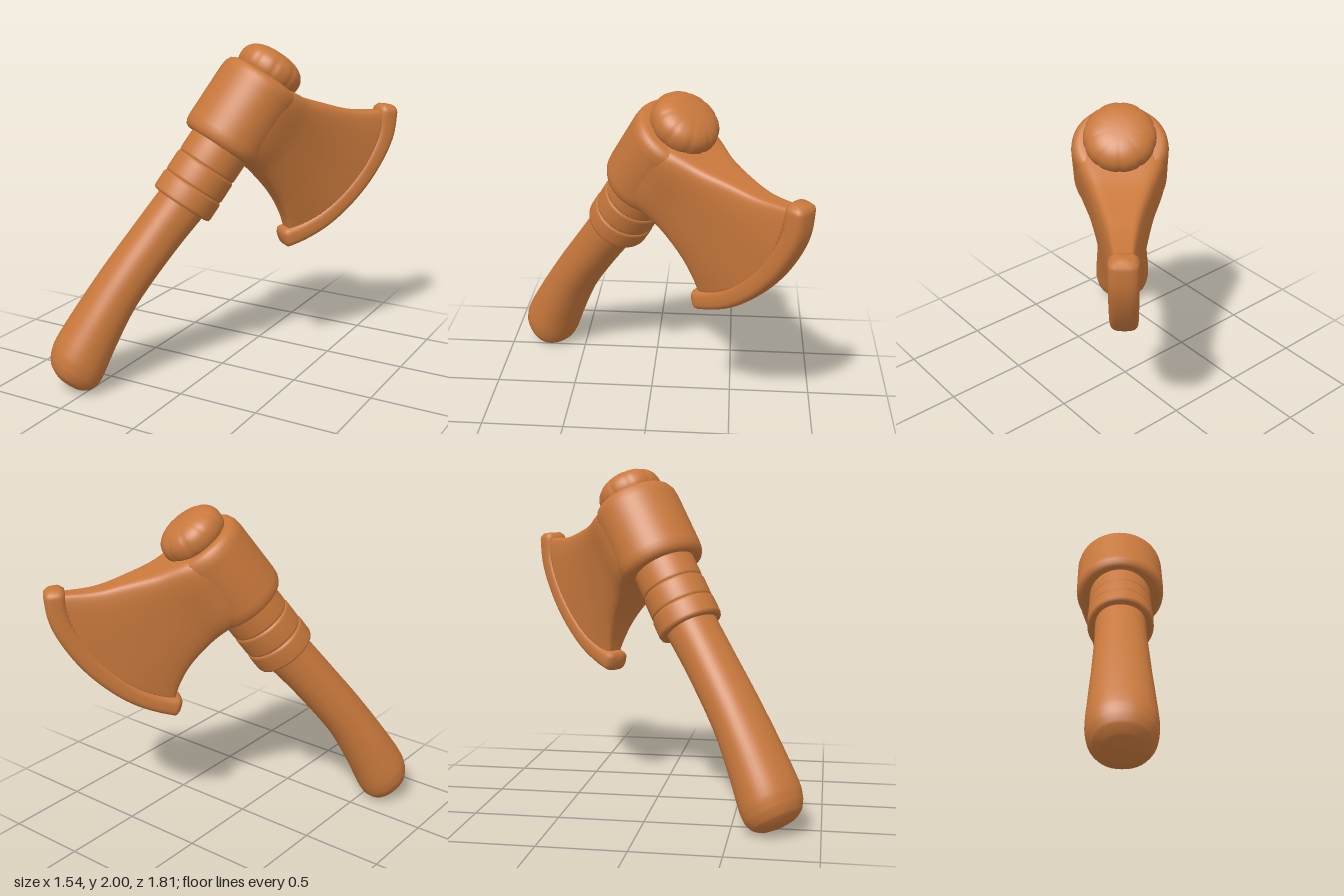
import * as THREE from 'three';

const V = (x, y, z) => new THREE.Vector3(x, y, z);
const spow = (v, e) => Math.sign(v) * Math.abs(v) ** e;

// Smooth closed skin over a list of equal-sized rings, with a centre point at each end
function loft(rings) {
  const n = rings[0].length, m = rings.length, pos = [], idx = [];
  rings.forEach(r => r.forEach(v => pos.push(v.x, v.y, v.z)));
  for (const r of [rings[0], rings[m - 1]]) {
    const c = r.reduce((s, v) => s.add(v), V(0, 0, 0)).divideScalar(n);
    pos.push(c.x, c.y, c.z);
  }
  for (let j = 0; j < n; j++) {
    const k = (j + 1) % n;
    for (let i = 0; i < m - 1; i++) {
      const a = i * n + j, b = i * n + k;
      idx.push(a, b, b + n, a, b + n, a + n);
    }
    idx.push(m * n, k, j, m * n + 1, (m - 1) * n + j, (m - 1) * n + k);
  }
  // Turn the skin outward if its enclosed volume is negative
  const at = i => V(pos[3 * i], pos[3 * i + 1], pos[3 * i + 2]);
  let vol = 0;
  for (let i = 0; i < idx.length; i += 3) vol += at(idx[i]).dot(at(idx[i + 1]).cross(at(idx[i + 2])));
  if (vol < 0) idx.reverse();
  const g = new THREE.BufferGeometry();
  g.setAttribute('position', new THREE.Float32BufferAttribute(pos, 3));
  g.setIndex(idx);
  g.computeVertexNormals();
  return g;
}

const curve = pts => new THREE.CatmullRomCurve3(pts.map(p => V(p[0], p[1], p[2] || 0)));
const turned = pts => new THREE.LatheGeometry(pts.map(p => new THREE.Vector2(p[0], p[1])), 48);

// Sideways offset of the cutting edge from the handle's middle plane
const EDGE_SHIFT = -0.028;

// Handle: slightly bent grip, swelling toward a rounded butt
function handleGeometry() {
  const axis = curve([[0, 0.06], [-0.025, -0.24], [-0.042, -0.62], [-0.026, -0.9], [-0.005, -1.08],
    [0.008, -1.15], [0.015, -1.2], [0.02, -1.232], [0.022, -1.245]]);
  const size = curve([[0.148, 0.15], [0.14, 0.152], [0.14, 0.163], [0.157, 0.178], [0.17, 0.187],
    [0.163, 0.177], [0.138, 0.15], [0.09, 0.1], [0.015, 0.015]]);
  const rings = [];
  for (let i = 0; i <= 56; i++) {
    const c = axis.getPoint(i / 56), r = size.getPoint(i / 56), ring = [];
    for (let j = 0; j < 40; j++) {
      const t = j / 40 * Math.PI * 2;
      ring.push(V(c.x + r.x * spow(Math.cos(t), 0.9), c.y, r.y * spow(Math.sin(t), 0.9)));
    }
    rings.push(ring);
  }
  return loft(rings);
}

// Blade: flares from the eye to the curved rim while getting thinner
function bladeGeometry() {
  const top = curve([[0, 0.9], [0.13, 0.925], [0.29, 0.952], [0.46, 1.008], [0.62, 1.07], [0.8, 1.185]]);
  const low = curve([[0, 0.43], [0.13, 0.425], [0.28, 0.41], [0.48, 0.36], [0.61, 0.295], [0.69, 0.235]]);
  const thick = curve([[0, 0.268], [0.2, 0.242], [0.4, 0.18], [0.6, 0.125], [0.8, 0.09], [1, 0.066]]);
  const rings = [];
  for (let i = 0; i <= 32; i++) {
    const u = i / 32, T = top.getPoint(u), B = low.getPoint(u), h = thick.getPoint(u).y, ring = [];
    for (let j = 0; j < 64; j++) {
      const t = (j + 0.5) / 64 * Math.PI * 2;
      const v = 0.5 - 0.5 * spow(Math.cos(t), 0.5);
      const p = B.clone().lerp(T, v);
      ring.push(V(p.x + 0.165 * 4 * v * (1 - v) * u * u, p.y, EDGE_SHIFT * u + h * spow(Math.sin(t), 0.27)));
    }
    rings.push(ring);
  }
  return loft(rings);
}

// Rim: thick rounded strip along the cutting edge
function rimGeometry() {
  const path = curve([[0.7, 0.17], [0.785, 0.285], [0.86, 0.43], [0.914, 0.64], [0.926, 0.85],
    [0.892, 1.06], [0.802, 1.225]]);
  const rings = [];
  for (let i = 0; i <= 56; i++) {
    const u = i / 56, c = path.getPoint(u), d = path.getTangent(u), ring = [];
    const e = Math.min(1, Math.min(u, 1 - u) / 0.035);
    const k = 0.65 + 0.35 * Math.sqrt(1 - (1 - e) ** 2);
    for (let j = 0; j < 28; j++) {
      const t = j / 28 * Math.PI * 2;
      const w = 0.063 * k * spow(Math.cos(t), 0.65), z = 0.08 * k * spow(Math.sin(t), 0.65);
      ring.push(V(c.x + d.y * w, c.y - d.x * w, EDGE_SHIFT + z));
    }
    rings.push(ring);
  }
  return loft(rings);
}

// Knob: squashed ball with shallow radial pleats
function knobGeometry() {
  const rings = [];
  for (let i = 0; i <= 24; i++) {
    const f = -Math.PI / 2 + (i + 0.3) / 24.6 * Math.PI, ring = [];
    for (let j = 0; j < 80; j++) {
      const t = j / 80 * Math.PI * 2;
      const pleat = 1 - 0.03 * (1 - Math.abs(Math.sin(5 * t))) ** 3;
      const r = 0.2 * spow(Math.cos(f), 0.75) * pleat;
      ring.push(V(r * Math.cos(t), 0.962 + 0.115 * spow(Math.sin(f), 0.9), r * Math.sin(t)));
    }
    rings.push(ring);
  }
  return loft(rings);
}

export function createModel() {
  const wood = new THREE.MeshStandardMaterial({ color: 0xc8783c });
  wood.name = 'warm brown';
  const model = new THREE.Group();
  model.name = 'axe';

  // Local y runs up the handle, local x points toward the cutting edge
  const body = new THREE.Group();
  body.name = 'axeBody';
  body.position.set(-0.278, 1.07, 0.027);
  body.rotation.z = -0.628;
  const lean = new THREE.Group();
  lean.name = 'heading';
  lean.rotation.y = 0.87;
  lean.add(body);
  model.add(lean);

  const add = (name, geometry) => {
    const mesh = new THREE.Mesh(geometry, wood);
    mesh.name = name;
    body.add(mesh);
    return mesh;
  };

  add('handle', handleGeometry());

  // Wrapped bands below the head
  [[0.015, 0.145, 0.195], [0.14, 0.285, 0.191], [0.28, 0.45, 0.188]].forEach(([a, b, r], i) => {
    add('band' + (i + 1), turned([[0.1, a], [r - 0.018, a], [r - 0.005, a + 0.005], [r, a + 0.02],
      [r, b - 0.02], [r - 0.004, b - 0.006], [r - 0.014, b], [0.1, b]]));
  });

  // Eye of the head, around the handle
  const eye = add('headEye', turned([[0, 0.43], [0.19, 0.425], [0.23, 0.422], [0.252, 0.432], [0.266, 0.46],
    [0.27, 0.5], [0.27, 0.83], [0.265, 0.87], [0.25, 0.9], [0.225, 0.913], [0.19, 0.91], [0, 0.905]]));
  eye.scale.x = 0.93;

  add('blade', bladeGeometry());
  add('bladeRim', rimGeometry());
  add('knob', knobGeometry());
  return model;
}
